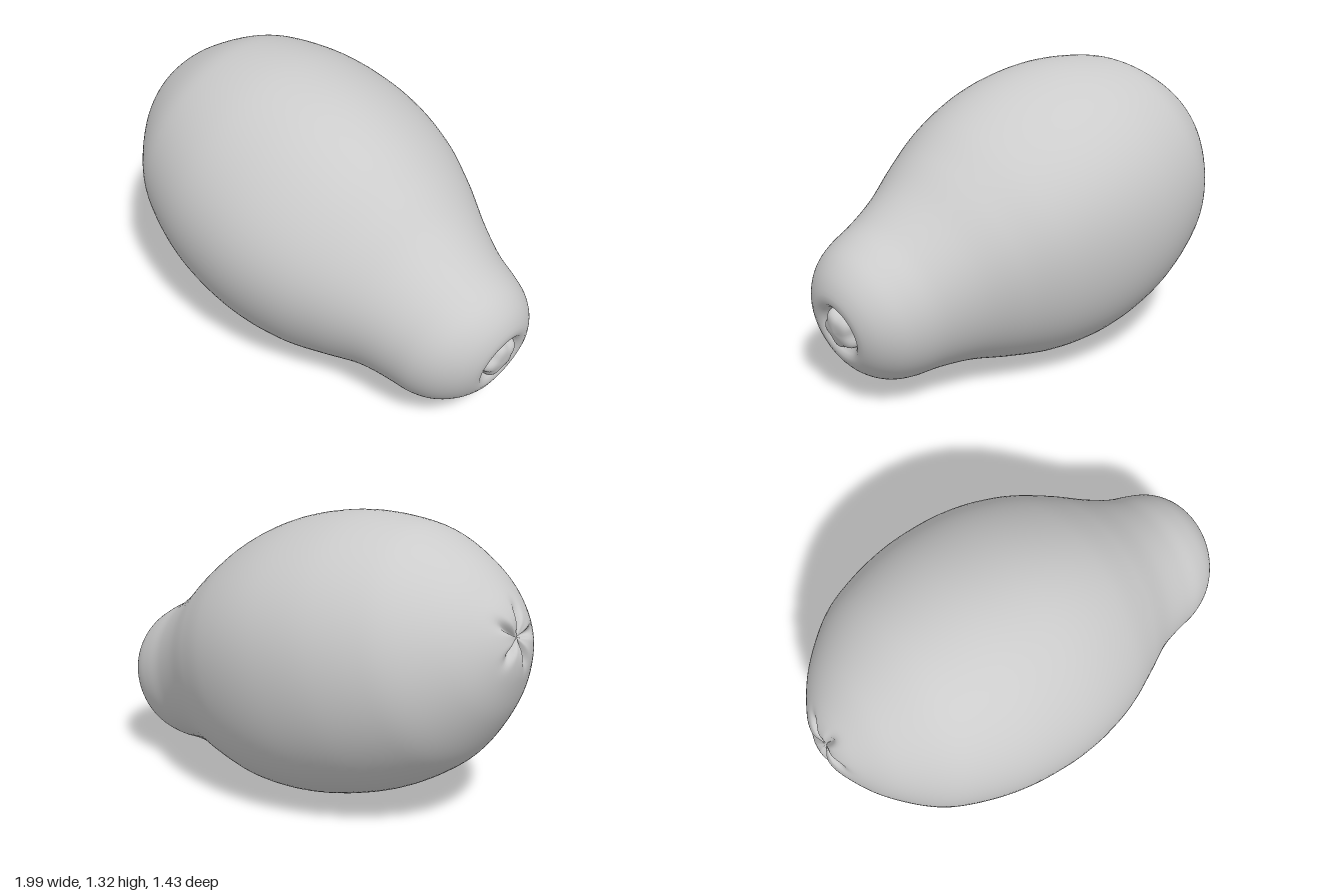
import * as THREE from 'three';
import { mergeVertices } from 'three/addons/utils/BufferGeometryUtils.js';

const material = new THREE.MeshStandardMaterial({ color: 0xcccccc });

// Smooth lathe around y from [radius, height] points, with each vertex moved by a rule
function softLathe(points, steps, sides, rule) {
  const curve = new THREE.SplineCurve(points.map(([r, s]) => new THREE.Vector2(r, s)));
  const profile = curve.getSpacedPoints(steps);
  profile.forEach((p) => { p.x = Math.max(p.x, 0); });
  profile[0].x = profile[steps].x = 0;
  let geometry = new THREE.LatheGeometry(profile, sides);
  const pos = geometry.attributes.position;
  const v = new THREE.Vector3();
  for (let i = 0; i < pos.count; i++) {
    v.fromBufferAttribute(pos, i);
    rule(v, Math.atan2(v.x, v.z), Math.hypot(v.x, v.z));
    pos.setXYZ(i, v.x, v.y, v.z);
  }
  geometry.deleteAttribute('uv');
  geometry.deleteAttribute('normal');
  geometry = mergeVertices(geometry, 1e-5);
  geometry.computeVertexNormals();
  return geometry;
}

function addPart(parent, name, geometry) {
  const mesh = new THREE.Mesh(geometry, material);
  mesh.name = name;
  parent.add(mesh);
  return mesh;
}

export function createModel() {
  const model = new THREE.Group();
  model.name = 'papaya';

  // Fruit lies on its side: local y runs from blossom end to stem end
  const along = new THREE.Vector3(0.882, -0.244, 0.404).normalize();
  const side = new THREE.Vector3(-0.416, 0, 0.909);
  const down = new THREE.Vector3().crossVectors(along, side).normalize();
  side.crossVectors(down, along);
  const fruit = new THREE.Group();
  fruit.name = 'fruit';
  fruit.quaternion.setFromRotationMatrix(new THREE.Matrix4().makeBasis(down, along, side));
  fruit.position.set(-0.15, 0.667, -0.02);
  model.add(fruit);

  // Skin: full belly, narrow neck, sunken stem socket
  const skin = [
    [0, -0.9], [0.1, -0.885], [0.2, -0.84], [0.34, -0.74], [0.485, -0.58], [0.562, -0.43],
    [0.622, -0.22], [0.643, 0], [0.63, 0.2], [0.582, 0.4], [0.505, 0.58], [0.42, 0.75],
    [0.367, 0.9], [0.338, 1.02], [0.3, 1.11], [0.24, 1.18], [0.17, 1.222], [0.125, 1.222],
    [0.1, 1.195], [0.05, 1.18], [0, 1.18],
  ];
  addPart(fruit, 'skin', softLathe(skin, 130, 100, (v, angle, radius) => {
    // Faint lengthwise ridges
    const ridge = 1 + 0.011 * Math.cos(5 * angle + 0.6) * Math.exp(-((v.y - 0.3) ** 2) / 0.35);
    v.x *= ridge;
    v.z *= ridge;
    // Star of creases at the blossom end
    if (v.y < -0.6) {
      const crease = (0.5 + 0.5 * Math.cos(5 * angle)) ** 4;
      v.y += 0.025 * Math.exp(-((radius / 0.05) ** 2));
      v.y += 0.035 * crease * Math.exp(-(((radius - 0.07) / 0.06) ** 2));
    }
    // Neck sags slightly down and forward
    const sag = Math.exp(-(((v.y - 1) / 0.22) ** 2));
    v.x += 0.012 + 0.018 * sag;
    v.z += 0.025 * sag;
  }));

  // Blunt, five-cornered stem stub in the socket
  const stub = [[0, 1.15], [0.07, 1.155], [0.092, 1.19], [0.085, 1.22], [0.06, 1.238], [0, 1.246]];
  addPart(fruit, 'stemStub', softLathe(stub, 20, 40, (v, angle) => {
    const corner = 1 + 0.1 * Math.cos(5 * angle);
    v.x = v.x * corner + 0.018;
    v.z = v.z * corner + 0.008;
  }));

  return model;
}
